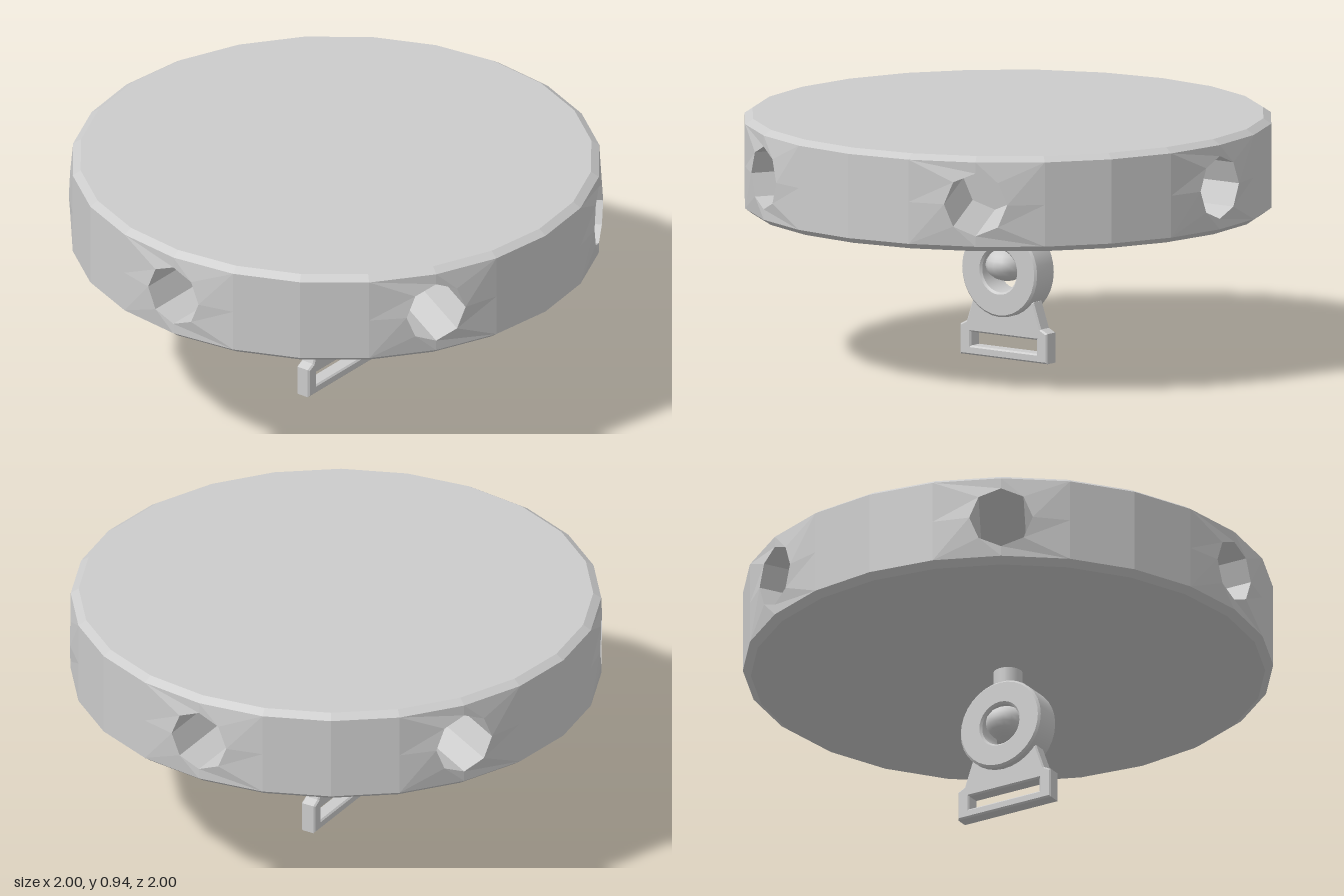
import * as THREE from 'three';
import { toCreasedNormals } from 'three/addons/utils/BufferGeometryUtils.js';

const DEG = Math.PI / 180;
const MID = 0.755, LOW = 0.595, HIGH = 0.917;   // side wall heights
const BASE = 0.573, TOP = 0.937, RIM = 0.97;    // bevelled rims
const HOLE_R = 0.12, HOLE_DEPTH = 0.6;

const smooth = new THREE.MeshStandardMaterial({ color: 0xcccccc });
const flat = new THREE.MeshStandardMaterial({ color: 0xcccccc, flatShading: true });

function add(group, name, geometry, material = smooth) {
  const mesh = new THREE.Mesh(geometry, material);
  mesh.name = name;
  group.add(mesh);
  return mesh;
}

// 24-sided disc with six octagonal pockets sunk into its side
function discGeometry() {
  const pos = [];
  const tri = (...pts) => pts.forEach(p => pos.push(p.x, p.y, p.z));
  const quad = (a, b, c, d) => { tri(a, b, c); tri(a, c, d); };
  const at = (deg, y, r = 1) =>
    new THREE.Vector3(r * Math.sin(deg * DEG), y, r * Math.cos(deg * DEG));

  // bevels and caps
  const topCentre = new THREE.Vector3(0, TOP, 0);
  const baseCentre = new THREE.Vector3(0, BASE, 0);
  for (let a = 0; a < 360; a += 15) {
    const b = a + 15;
    quad(at(a, HIGH), at(b, HIGH), at(b, TOP, RIM), at(a, TOP, RIM));
    quad(at(a, BASE, RIM), at(b, BASE, RIM), at(b, LOW), at(a, LOW));
    tri(topCentre, at(a, TOP, RIM), at(b, TOP, RIM));
    tri(baseCentre, at(b, BASE, RIM), at(a, BASE, RIM));
  }

  for (let a = 0; a < 360; a += 60) {
    // plain wall between pockets
    for (const s of [a + 15, a + 30]) {
      quad(at(s, LOW), at(s + 15, LOW), at(s + 15, MID), at(s, MID));
      quad(at(s, MID), at(s + 15, MID), at(s + 15, HIGH), at(s, HIGH));
    }
    // wall around the pocket, pocket sides and pocket floor
    const ring = z => Array.from({ length: 8 }, (_, k) => new THREE.Vector3(
      HOLE_R * Math.cos(k * 45 * DEG), MID + HOLE_R * Math.sin(k * 45 * DEG), z)
      .applyAxisAngle(new THREE.Vector3(0, 1, 0), a * DEG));
    const frame = [[15, MID], [15, HIGH], [0, HIGH], [-15, HIGH],
      [-15, MID], [-15, LOW], [0, LOW], [15, LOW]].map(([d, y]) => at(a + d, y));
    const mouth = ring(1), floor = ring(1 - HOLE_DEPTH);
    const centre = at(a, MID, 1 - HOLE_DEPTH);
    for (let k = 0; k < 8; k++) {
      const n = (k + 1) % 8;
      quad(mouth[k], frame[k], frame[n], mouth[n]);
      quad(mouth[k], mouth[n], floor[n], floor[k]);
      tri(centre, floor[k], floor[n]);
    }
  }
  const g = new THREE.BufferGeometry();
  g.setAttribute('position', new THREE.Float32BufferAttribute(pos, 3));
  g.computeVertexNormals();
  return g;
}

// Extrudes a (z, y) shape along x, centred, with a small bevel
function plate(shape, thickness, bevel) {
  const g = new THREE.ExtrudeGeometry(shape, {
    depth: thickness - 2 * bevel, curveSegments: 16,
    bevelThickness: bevel, bevelSize: bevel, bevelOffset: -bevel, bevelSegments: 1,
  });
  g.translate(0, 0, -(thickness / 2 - bevel));
  g.rotateY(Math.PI / 2);
  return toCreasedNormals(g, 0.5);
}

export function createModel() {
  const model = new THREE.Group();
  model.name = 'discWithStrapSwivel';

  add(model, 'disc', discGeometry(), flat);

  // Swivel under the disc
  const swivel = new THREE.Group();
  swivel.name = 'swivel';
  model.add(swivel);

  add(swivel, 'post', new THREE.CylinderGeometry(0.055, 0.055, 0.09, 20))
    .position.y = 0.535;

  const eye = new THREE.Shape().absarc(0, 0.34, 0.177, 0, Math.PI * 2, false);
  eye.holes.push(new THREE.Path().absarc(0, 0.34, 0.082, 0, Math.PI * 2, true));
  add(swivel, 'eyeRing', plate(eye, 0.12, 0.008));

  const ball = add(swivel, 'pivotBall', new THREE.SphereGeometry(1, 16, 10));
  ball.scale.set(0.092, 0.064, 0.081);
  ball.position.y = 0.36;

  // Strap buckle with a long slot
  const buckle = new THREE.Shape([
    [-0.205, 0], [0.205, 0], [0.205, 0.115], [0.175, 0.13], [0.14, 0.23],
    [-0.14, 0.23], [-0.175, 0.13], [-0.205, 0.115],
  ].map(p => new THREE.Vector2(...p)));
  buckle.holes.push(new THREE.Path([
    [-0.155, 0.035], [-0.155, 0.088], [0.155, 0.088], [0.155, 0.035],
  ].map(p => new THREE.Vector2(...p))));
  add(swivel, 'strapBuckle', plate(buckle, 0.06, 0.006));

  return model;
}
